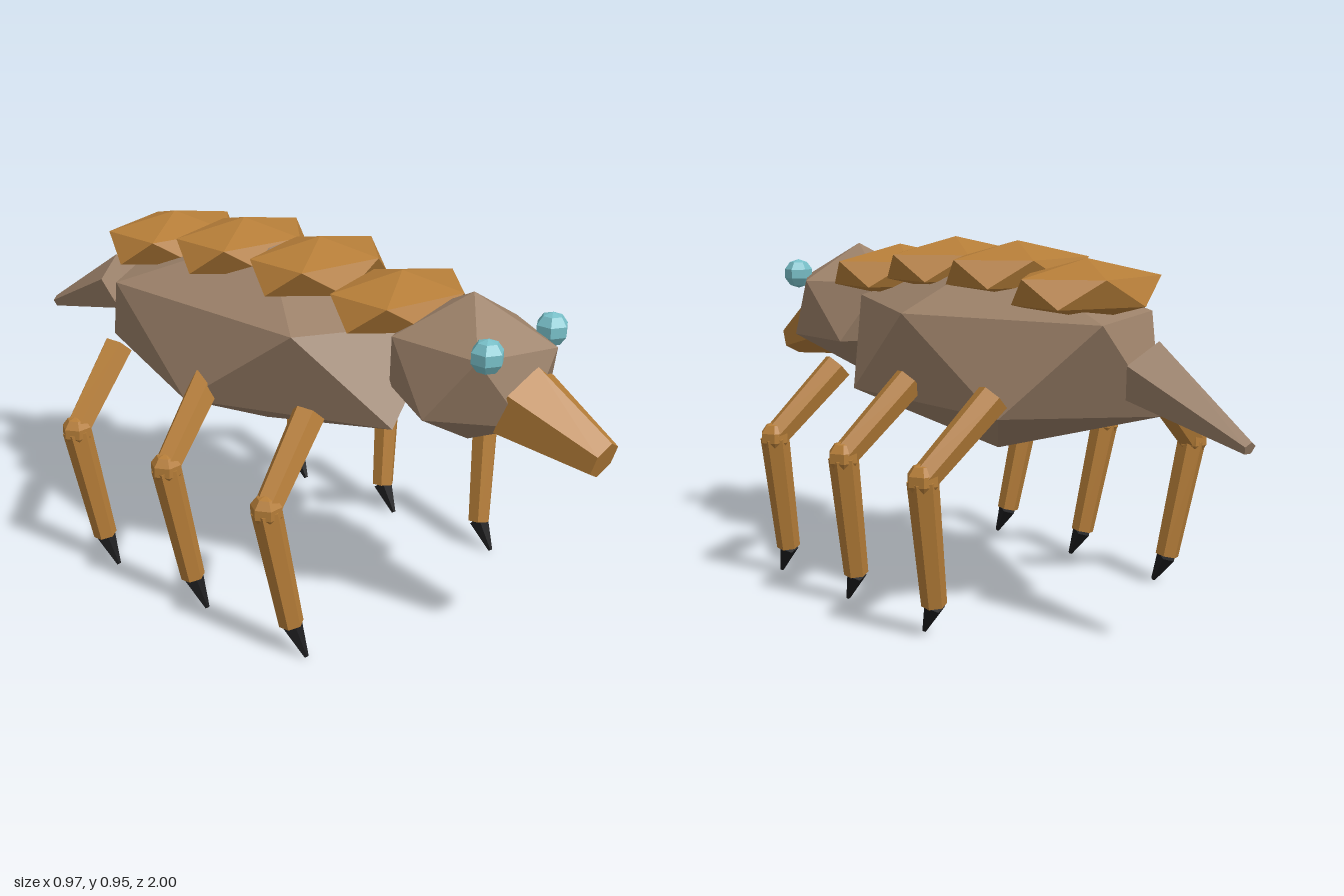
import * as THREE from 'three';
import { ConvexGeometry } from 'three/addons/geometries/ConvexGeometry.js';

const flat = (name, color) => {
  const m = new THREE.MeshStandardMaterial({ color, flatShading: true });
  m.name = name;
  return m;
};

// Icosahedron standing on a vertex, stretched to the given radii
function gem(rx, ry, rz) {
  const h = 1 / Math.sqrt(5), r = 2 * h;
  const pts = [new THREE.Vector3(0, ry, 0), new THREE.Vector3(0, -ry, 0)];
  for (let i = 0; i < 5; i++) {
    const a = (i * Math.PI * 2) / 5;
    const x = Math.cos(a) * r, z = Math.sin(a) * r;
    pts.push(new THREE.Vector3(x * rx, h * ry, z * rz));
    pts.push(new THREE.Vector3(-x * rx, -h * ry, z * rz));
  }
  return new ConvexGeometry(pts);
}

// Tapered prism running from point a to point b
function limb(a, b, ra, rb, sides) {
  const A = new THREE.Vector3(...a), B = new THREE.Vector3(...b);
  const dir = B.clone().sub(A);
  const g = new THREE.CylinderGeometry(rb, ra, dir.length(), sides);
  g.applyQuaternion(new THREE.Quaternion().setFromUnitVectors(
    new THREE.Vector3(0, 1, 0), dir.clone().normalize()));
  const c = A.add(B).multiplyScalar(0.5);
  return g.translate(c.x, c.y, c.z);
}

export function createModel() {
  const model = new THREE.Group();
  model.name = 'beetle';
  const hide = flat('brown hide', 0x9c8169);
  const shell = flat('amber shell', 0xb57d38);
  const eyeBlue = flat('pale blue eye', 0x78bfc8);
  const clawBlack = flat('black claw', 0x1c1c1e);

  const add = (parent, name, geometry, material, x = 0, y = 0, z = 0) => {
    const m = new THREE.Mesh(geometry, material);
    m.name = name;
    m.position.set(x, y, z);
    parent.add(m);
  };

  // Body, head, snout and tail
  add(model, 'body', gem(0.347, 0.2625, 0.617), hide, 0, 0.6525, -0.085);
  add(model, 'head', gem(0.207, 0.19, 0.241), hide, 0, 0.719, 0.6);
  add(model, 'snout', limb([0, 0.666, 0.757], [0, 0.589, 0.985], 0.108, 0.05, 6), shell);
  add(model, 'tail', limb([0, 0.657, -0.668], [0, 0.525, -0.992], 0.085, 0.017, 5), hide);

  // Overlapping back plates
  [[0.838, 0.38], [0.87, 0.107], [0.87, -0.166], [0.838, -0.44]].forEach(([y, z], i) =>
    add(model, `backPlate${i + 1}`, gem(0.23, 0.078, 0.17), shell, 0, y, z));

  for (const [side, s] of [['left', 1], ['right', -1]]) {
    // Eyes
    const eye = new THREE.SphereGeometry(0.043, 6, 5).rotateY(Math.PI / 2);
    add(model, `${side}Eye`, eye, eyeBlue, s * 0.13, 0.815, 0.738);

    // Three jointed legs on each side
    [['Front', 0.34], ['Middle', -0.015], ['Back', -0.37]].forEach(([place, z]) => {
      const leg = new THREE.Group();
      leg.name = `${side}${place}Leg`;
      leg.position.z = z;
      const hip = [s * 0.26, 0.59, -0.032], knee = [s * 0.445, 0.405, 0];
      const ankle = [s * 0.391, 0.083, 0.032], tip = [s * 0.387, 0.005, 0.08];
      add(leg, 'upperLeg', limb(hip, knee, 0.043, 0.036, 6), shell);
      add(leg, 'knee', new THREE.SphereGeometry(0.042, 6, 5), shell, ...knee);
      add(leg, 'lowerLeg', limb(knee, ankle, 0.039, 0.032, 6), shell);
      add(leg, 'claw', limb(ankle, tip, 0.028, 0.006, 5), clawBlack);
      model.add(leg);
    });
  }
  return model;
}
